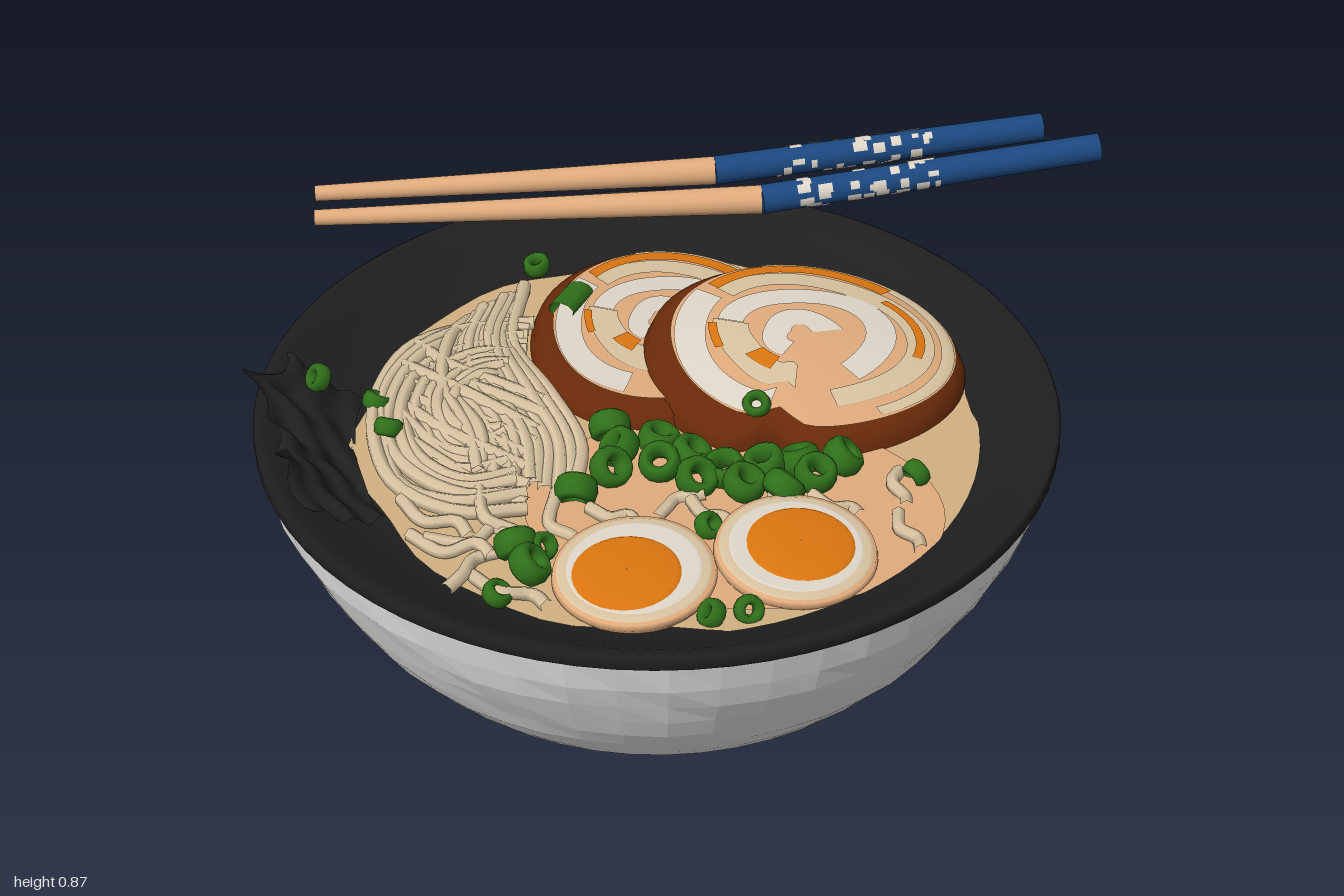
import * as THREE from 'three';

const mat = (name, color, side = THREE.FrontSide) => {
  const m = new THREE.MeshStandardMaterial({ color, side });
  m.name = name;
  return m;
};
const M = {
  grey: mat('stoneGrey', 0xeaeae9),
  black: mat('charcoal', 0x1f1f1f, THREE.DoubleSide),
  broth: mat('brothTan', 0xd2b181),
  noodle: mat('noodleCream', 0xd9c4a2),
  rind: mat('rindBrown', 0x6a2a0a),
  peach: mat('peachWood', 0xe0ab7c),
  white: mat('paleWhite', 0xdfd6c9, THREE.DoubleSide),
  orange: mat('yolkOrange', 0xdc7610),
  green: mat('scallionGreen', 0x30701a, THREE.DoubleSide),
  blue: mat('lacquerBlue', 0x1c4880),
};

let seed = 7;
const rnd = (a = 0, b = 1) => {
  seed = (seed * 16807) % 2147483647;
  return a + (b - a) * (seed / 2147483647);
};
const add = (parent, name, geo, material, x = 0, y = 0, z = 0) => {
  const mesh = new THREE.Mesh(geo, material);
  mesh.name = name;
  mesh.position.set(x, y, z);
  parent.add(mesh);
  return mesh;
};
const group = (parent, name) => {
  const g = new THREE.Group();
  g.name = name;
  parent.add(g);
  return g;
};
const lathe = (pts, n) => new THREE.LatheGeometry(pts.map(p => new THREE.Vector2(...p)), n);
// move every vertex by a rule
const warp = (geo, rule) => {
  const p = geo.attributes.position, v = new THREE.Vector3();
  for (let i = 0; i < p.count; i++) {
    rule(v.fromBufferAttribute(p, i));
    p.setXYZ(i, v.x, v.y, v.z);
  }
  geo.computeVertexNormals();
  return geo;
};

function buildBowl(root) {
  const bowl = group(root, 'bowl');
  bowl.position.set(-0.033, 0, 0.035);
  // hammered outer wall
  const wall = lathe([[0.675, 0.065], [0.715, 0.11], [0.77, 0.18], [0.815, 0.25], [0.853, 0.32],
    [0.887, 0.39], [0.914, 0.46], [0.934, 0.545]], 52);
  warp(wall, v => {
    const fade = Math.min(1, (v.y - 0.065) * 12, (0.545 - v.y) * 12);
    const n = Math.sin(v.x * 11 + 1) * Math.sin(v.z * 10) * Math.cos(v.y * 24) + 0.5 * Math.sin(v.x * 23 - v.y * 31) * Math.sin(v.z * 21 + v.y * 17);
    const k = 1 + 0.0065 * n * fade;
    v.x *= k; v.z *= k;
  });
  const facets = wall.toNonIndexed();
  facets.computeVertexNormals();
  add(bowl, 'outerWall', facets, M.grey);
  // underside: flat foot, sloping collar and shallow groove
  const foot = lathe([[0.001, 0], [0.415, 0], [0.415, 0], [0.46, 0.02], [0.52, 0.062], [0.56, 0.082], [0.61, 0.085], [0.655, 0.068], [0.675, 0.065]], 48);
  add(bowl, 'foot', foot, M.grey);
  add(bowl, 'rimAndInnerWall', lathe([[0.934, 0.54], [0.941, 0.545], [0.941, 0.57], [0.933, 0.575],
    [0.905, 0.572], [0.85, 0.538], [0.75, 0.481], [0.68, 0.476], [0.001, 0.472]], 72), M.black);
}

function buildBroth(root) {
  const broth = new THREE.CircleGeometry(1, 64).rotateX(-Math.PI / 2);
  add(root, 'broth', warp(broth, v => {
    const a = Math.atan2(v.z, v.x), r = 0.74 + 0.012 * Math.sin(a * 7) + 0.01 * Math.sin(a * 11 + 1);
    v.x *= r; v.z *= r;
  }), M.broth, 0, 0.486, 0.04);
  const pool = new THREE.CircleGeometry(1, 48).rotateX(-Math.PI / 2).scale(0.48, 1, 0.36);
  add(root, 'brothSheen', pool, M.peach, 0.17, 0.49, 0.33);
}

function buildNoodles(root) {
  const g = group(root, 'noodles');
  const height = (x, z) => 0.497 + 0.038 * Math.exp(-((x + 0.42) ** 2 + (z - 0.02) ** 2) / 0.09);
  const strand = (pts, r = 0.018) => {
    const curve = new THREE.CatmullRomCurve3(pts.map(([x, z]) =>
      new THREE.Vector3(x, height(x, z) + rnd(-0.008, 0.01), z)));
    add(g, 'noodle', new THREE.TubeGeometry(curve, 28, r, 6), M.noodle);
  };
  const j = () => rnd(-0.012, 0.012);
  // long strands sweeping beside the meat
  for (let i = 0; i < 11; i++) {
    const o = i * 0.026;
    strand([[-0.41 - o * 0.5 + j(), -0.52 + o * 0.6], [-0.41 - o * 0.6, -0.25 + j()],
      [-0.29 - o, -0.02 + j()], [-0.2 - o, 0.16], [-0.19 - o * 0.9 + j(), 0.34 - o * 0.2]]);
  }
  // nested loops on the left
  for (let i = 0; i < 11; i++) {
    const k = 0.3 + i * 0.073, pts = [];
    for (let s = 0; s <= 7; s++) {
      const a = 1.1 + s * 0.55;
      pts.push([-0.43 + 0.27 * k * Math.cos(a) + j(), 0.03 + 0.38 * k * Math.sin(a) + j()]);
    }
    strand(pts);
  }
  // crossing strands
  for (let i = 0; i < 8; i++) {
    const z = -0.12 + i * 0.05;
    strand([[-0.65 + j(), z - 0.1], [-0.54, z + j()], [-0.42, z + 0.08], [-0.3 + j(), z + 0.14]]);
  }
  // loose ends in the broth
  for (const [x, z, a] of [[-0.5, 0.42, 0.5], [-0.42, 0.48, -0.4], [-0.35, 0.42, 0.9], [-0.45, 0.52, 0.2],
    [-0.3, 0.66, 0.4], [-0.2, 0.42, 1.2], [-0.36, 0.6, 2.4], [-0.1, 0.38, 0.2], [0.12, 0.36, 0.6],
    [0.28, 0.3, 2.3], [0.4, 0.3, 0.3], [0.55, 0.22, 1.4], [0.57, 0.38, 1.1], [0.05, 0.33, 2.6]]) {
    const l = x < -0.15 ? 0.1 : 0.06, c = Math.cos(a) * l, s = Math.sin(a) * l;
    strand([[x - c, z - s], [x - s * 0.4, z + c * 0.4], [x + c * 0.6, z + s * 0.6], [x + c, z + s + 0.03]], 0.016);
  }
}

// rolled meat slice: polar sheets mapped onto a domed, notched outline
function buildSlice(root, name, { x, z, y, rx, rz, tiltX = 0, tiltZ = 0, notch, dome }) {
  const g = group(root, name);
  const sheet = (part, material, t0, t1, lift, inset, start = 0, len = Math.PI * 2, swirl = 0) => {
    const geo = new THREE.RingGeometry(t0, t1, Math.ceil(len * 10), 8, start, len);
    add(g, part, warp(geo, v => {
      let t = Math.hypot(v.x, v.y);
      const a = Math.atan2(v.y, v.x);
      if (swirl) t += swirl * Math.sin(a * 3 + t1 * 9);
      if (inset) t *= 0.88 + 0.07 * Math.cos(a - 0.6);
      const d = Math.atan2(Math.sin(a - notch), Math.cos(a - notch));
      const R = 1 + 0.025 * Math.sin(a * 3 + 1) - 0.17 * Math.exp(-d * d / 0.02);
      const r = Math.min(t, 1) * R, dx = r * rx * Math.cos(a), dz = -r * rz * Math.sin(a);
      const edge = Math.max(0, Math.min(t, 1) - 0.88) / 0.12;
      const h = y + dome * (1 - r * r) + tiltX * dx + tiltZ * dz - 0.025 * edge * edge
        - Math.max(0, t - 1) * 0.5 + lift;
      v.set(x + dx, h, z + dz);
    }), material);
  };
  sheet('rind', M.rind, 0.6, 1.18, 0, false);
  sheet('meat', M.peach, 0.001, 1, 0.006, true);
  // pale fat rings and glazed streaks
  sheet('fatOuter', M.white, 0.74, 0.98, 0.009, true, 2.5, 2.0, 0.015);
  sheet('fatCream', M.noodle, 0.66, 0.84, 0.009, true, -1.2, 3.6, 0.02);
  sheet('fatRim', M.noodle, 0.9, 0.985, 0.009, true, -0.9, 2.8, 0.01);
  sheet('fatMiddle', M.white, 0.42, 0.62, 0.01, true, -0.8, 3.7, 0.03);
  sheet('fatMiddleCream', M.noodle, 0.38, 0.66, 0.009, true, 2.9, 1.8, 0.03);
  sheet('fatCore', M.white, 0.1, 0.3, 0.009, true, 0.4, 3.9, 0.02);
  sheet('glazeTop', M.orange, 0.83, 0.94, 0.012, true, 0.9, 1.5, 0.015);
  sheet('glazeSide', M.orange, 0.72, 0.78, 0.012, true, -0.1, 0.9, 0.02);
  sheet('glazeLow', M.orange, 0.36, 0.52, 0.012, true, 3.8, 0.5, 0.02);
  sheet('glazeLeft', M.orange, 0.64, 0.71, 0.012, true, 3.0, 0.5, 0.02);
}

function buildEgg(root, x, z, tilt, yolkX, yolkZ) {
  const egg = group(root, 'eggHalf');
  egg.position.set(x, 0.512, z);
  egg.rotation.set(0.06, 0, tilt);
  add(egg, 'eggSkin', lathe([[0.001, -0.11], [0.1, -0.09], [0.163, -0.045], [0.184, -0.01], [0.18, 0.004], [0.14, 0.008]], 40), M.peach);
  add(egg, 'eggCreamRing', lathe([[0.172, 0.0056], [0.165, 0.0095], [0.14, 0.0105]], 40), M.noodle);
  add(egg, 'eggWhite', lathe([[0.15, 0.01], [0.144, 0.0125], [0.001, 0.013]], 40), M.white);
  add(egg, 'yolk', lathe([[0.122, 0.012], [0.112, 0.019], [0.06, 0.022], [0.001, 0.023]], 32), M.orange, yolkX, 0, yolkZ);
}

function buildScallions(root) {
  const g = group(root, 'scallions');
  const ring = (x, y, z, s = 1.25) => {
    const geo = new THREE.TorusGeometry(0.027 * s, 0.014 * s, 8, 14).scale(1, 1, 1.8);
    const m = add(g, 'scallionRing', geo, M.green, x, y, z);
    m.rotation.set(rnd(0.5, 2.6), rnd(-1, 1), rnd(0, 3));
  };
  for (const [x, z] of [[-0.14, 0.08], [-0.11, 0.16], [-0.12, 0.24], [-0.02, 0.12], [-0.01, 0.21], [0.06, 0.17],
    [0.08, 0.26], [0.14, 0.22], [0.19, 0.27], [0.23, 0.19], [0.28, 0.28], [0.31, 0.17], [0.35, 0.22],
    [0.41, 0.15], [-0.19, 0.33], [-0.3, 0.54], [-0.26, 0.61]]) ring(x, 0.519, z);
  for (const [x, y, z] of [[-0.7, 0.525, 0.04], [-0.65, 0.54, 0.16], [-0.4, 0.515, -0.6], [0.2, 0.568, 0.03],
    [0.12, 0.505, 0.42], [0.15, 0.5, 0.72], [0.23, 0.5, 0.7], [0.58, 0.505, 0.18], [-0.83, 0.6, 0.06],
    [-0.32, 0.505, 0.7], [-0.24, 0.515, 0.54]]) ring(x, y, z, 0.85);
  const stalk = add(g, 'scallionStalk', new THREE.CylinderGeometry(0.034, 0.034, 0.12, 10, 1, true).scale(1, 1, 0.6), M.green, -0.29, 0.542, -0.41);
  stalk.rotation.set(1.5, 0, 0.3);
}

// ruffled sheet resting on the left inner wall
function buildSeaweed(root) {
  const geo = new THREE.PlaneGeometry(1, 1, 16, 34);
  add(root, 'seaweed', warp(geo, v => {
    const u = v.x + 0.5, a = -0.08 + 0.7 * (v.y + 0.5);
    const r = 0.71 + u * (0.18 + 0.075 * Math.exp(-((a - 0.06) ** 2) / 0.006) + 0.012 * Math.sin(a * 40));
    const y = 0.475 + Math.max(0, r - 0.74) * 0.58 + 0.018
      + 0.016 * Math.sin(a * 34 + u * 5) * u + 0.01 * Math.sin(u * 17 + a * 21) + 0.045 * u * Math.exp(-((a - 0.41) ** 2) / 0.003);
    v.set(-0.033 - r * Math.cos(a), y, 0.03 + r * Math.sin(a));
  }), M.black);
}

function buildChopstick(root, tip, joint, end, flecksFrom, flecksTo) {
  const g = group(root, 'chopstick');
  const [A, B, C] = [tip, joint, end].map(p => new THREE.Vector3(...p));
  const rod = (name, a, b, ra, rb, material) => {
    const dir = b.clone().sub(a), part = group(g, name);
    part.position.copy(a);
    part.quaternion.setFromUnitVectors(new THREE.Vector3(0, 1, 0), dir.clone().normalize());
    add(part, name + 'Rod', new THREE.CylinderGeometry(rb, ra, dir.length(), 18), material, 0, dir.length() / 2, 0);
    return { part, len: dir.length() };
  };
  rod('woodenShaft', A, B, 0.02, 0.036, M.peach);
  const { part, len } = rod('blueHandle', B, C, 0.0365, 0.035, M.blue);
  // painted blossom flecks
  for (let i = 0; i < 46; i++) {
    const h = rnd(0.014, 0.036);
    const fleck = new THREE.CylinderGeometry(0.0378, 0.0378, h, 3, 1, true, rnd(0, 6.28), rnd(0.35, 0.85));
    add(part, 'paintFleck', fleck, M.white, 0, len * rnd(flecksFrom, flecksTo), 0);
  }
}

export function createModel() {
  const root = new THREE.Group();
  root.name = 'noodleBowl';
  buildBowl(root);
  buildBroth(root);
  buildNoodles(root);
  buildSlice(root, 'backMeatSlice', { x: -0.06, z: -0.34, y: 0.52, rx: 0.33, rz: 0.385, tiltZ: 0.03, notch: 0.3, dome: 0.015 });
  buildSlice(root, 'frontMeatSlice', { x: 0.29, z: -0.21, y: 0.56, rx: 0.39, rz: 0.345, tiltX: -0.05, tiltZ: -0.09, notch: -1.7, dome: 0.04 });
  buildEgg(root, -0.03, 0.605, 0.03, -0.014, 0.02);
  buildEgg(root, 0.32, 0.495, -0.05, 0.01, -0.005);
  buildScallions(root);
  buildSeaweed(root);
  buildChopstick(root, [-0.95, 0.712, -0.575], [0.04, 0.735, -0.738], [0.857, 0.785, -0.945], 0.16, 0.65);
  buildChopstick(root, [-0.93, 0.71, -0.465], [0.17, 0.757, -0.575], [0.993, 0.835, -0.77], 0.12, 0.52);
  return root;
}
